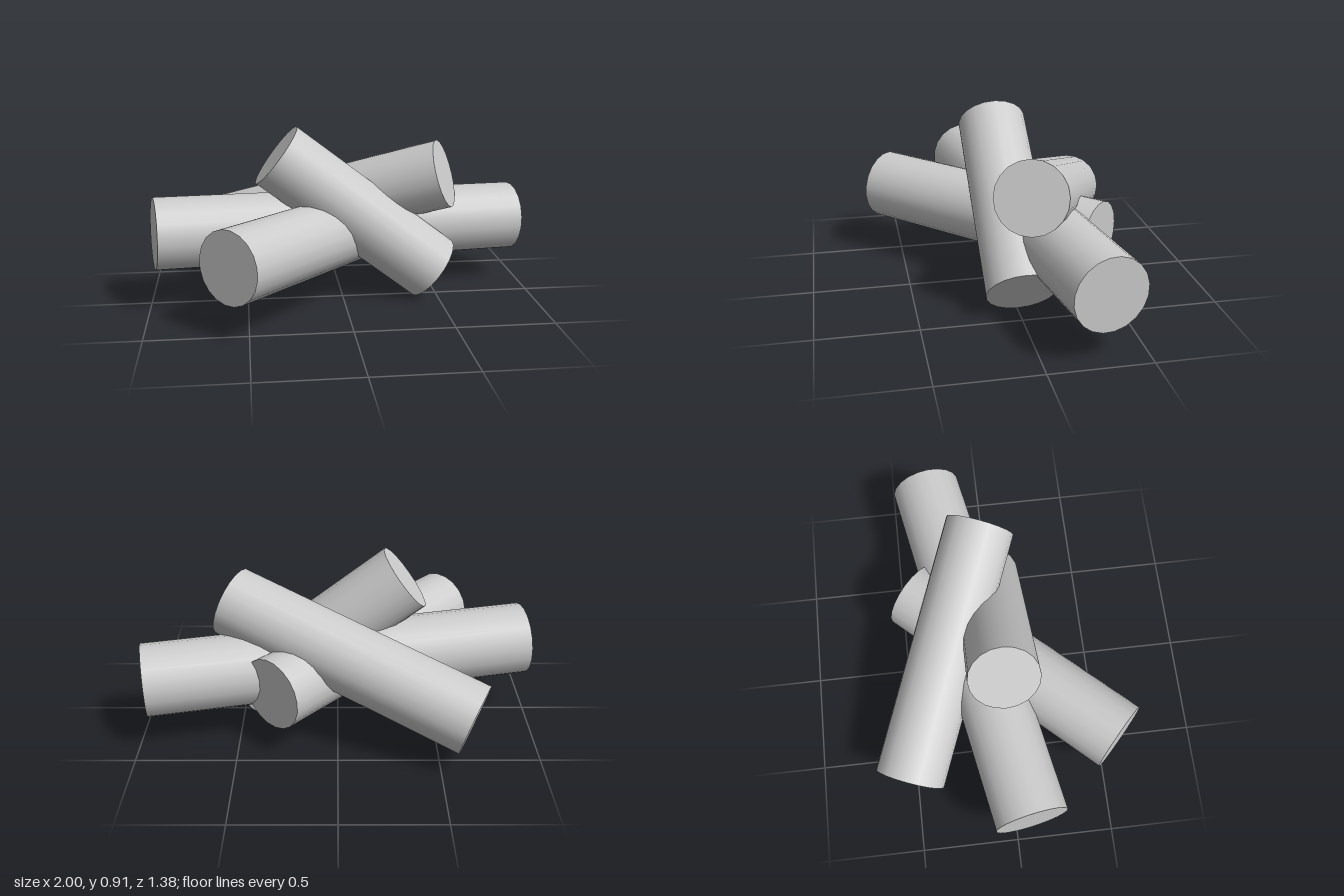
import * as THREE from 'three';

const material = new THREE.MeshStandardMaterial({ color: 0xcccccc });

// Capped round log running between two points
function log(name, from, to, radius) {
  const a = new THREE.Vector3(...from);
  const b = new THREE.Vector3(...to);
  const axis = b.clone().sub(a);
  const mesh = new THREE.Mesh(
    new THREE.CylinderGeometry(radius, radius, axis.length(), 20), material);
  mesh.name = name;
  mesh.position.copy(a).add(b).multiplyScalar(0.5);
  mesh.quaternion.setFromUnitVectors(new THREE.Vector3(0, 1, 0), axis.normalize());
  return mesh;
}

export function createModel() {
  const model = new THREE.Group();
  model.name = 'logPile';
  model.add(
    // long log lying across the pile
    log('longLog', [-0.965, 0.395, 0.065], [0.965, 0.34, -0.295], 0.185),
    // log pointing to the front right
    log('diagonalLog', [-0.59, 0.365, 0.563], [0.325, 0.335, -0.425], 0.183),
    // steep log leaning sideways
    log('steepLog', [-0.34, 0.772, -0.003], [0.478, 0.143, -0.003], 0.179),
    // log rising from the back to the left
    log('risingLog', [-0.66, 0.25, -0.525], [0.538, 0.65, -0.028], 0.181),
  );
  return model;
}
